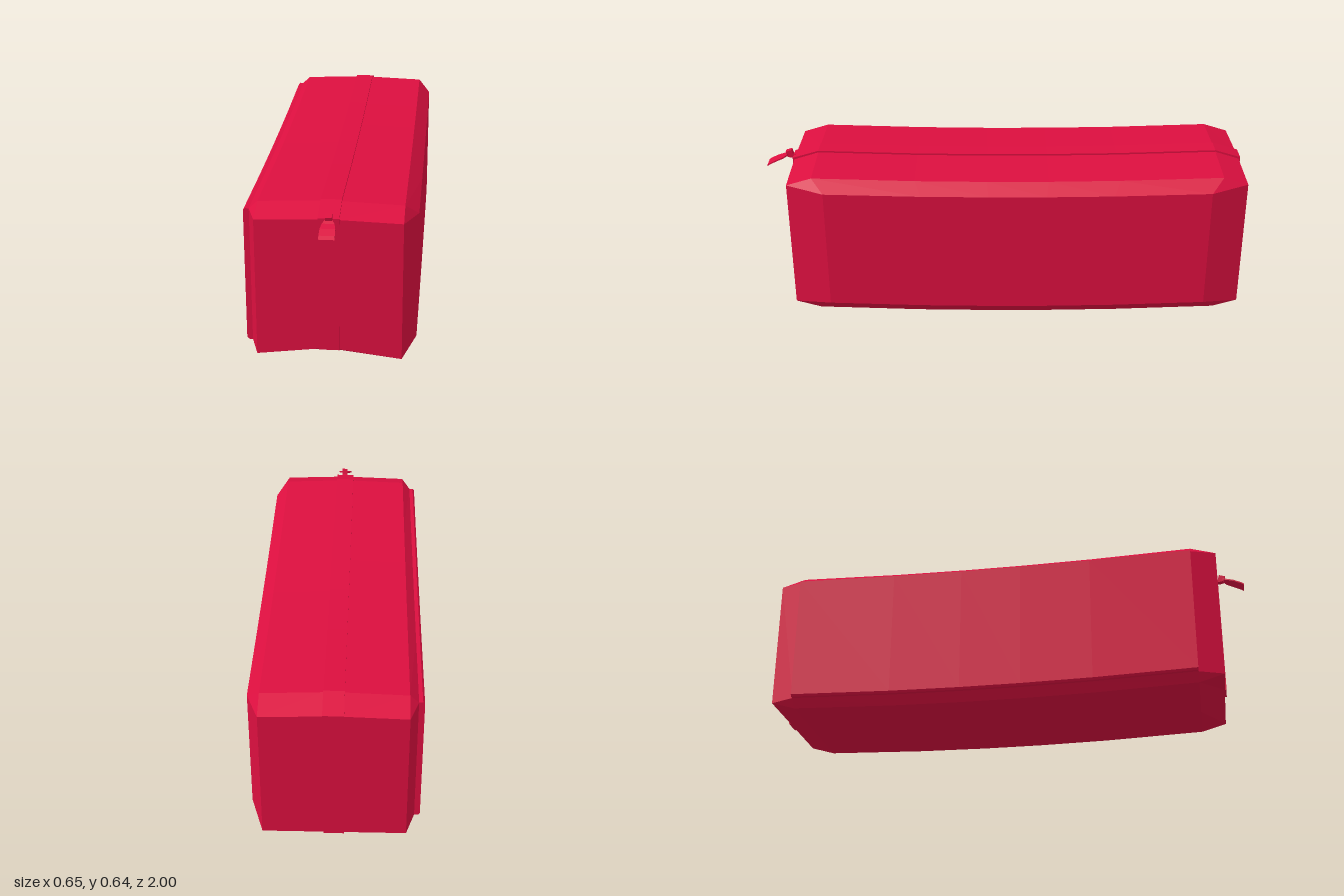
import * as THREE from 'three';

const red = new THREE.MeshStandardMaterial({ color: 0xdc0f3f });
red.name = 'crimson fabric';

// Closed solid through rings of [x, y, z], front to back, each clockwise seen from the front
function loft(name, rings) {
  const pos = [];
  const n = rings[0].length;
  const v = (p) => new THREE.Vector3(...p);
  const tri = (a, b, c) => {
    const area = v(b).sub(v(a)).cross(v(c).sub(v(a))).length();
    if (area > 1e-9) pos.push(...a, ...b, ...c);
  };
  const quad = (a, b, c, d) => { tri(a, b, c); tri(a, c, d); };
  for (let r = 0; r < rings.length - 1; r++) {
    const a = rings[r], b = rings[r + 1];
    for (let i = 0; i < n; i++) {
      const k = (i + 1) % n;
      quad(a[i], a[k], b[k], b[i]);
    }
  }
  // End caps: join each upper point to the one below it
  const f = rings[0], e = rings[rings.length - 1];
  for (let i = 0; i < n / 2 - 1; i++) {
    const j = n - 1 - i;
    quad(f[i], f[j], f[j - 1], f[i + 1]);
    quad(e[i], e[i + 1], e[j - 1], e[j]);
  }
  const geo = new THREE.BufferGeometry();
  geo.setAttribute('position', new THREE.Float32BufferAttribute(pos, 3));
  geo.computeVertexNormals();
  const mesh = new THREE.Mesh(geo, red);
  mesh.name = name;
  return mesh;
}

const MID = -0.055;                       // centre of the case along z
const STEPS = [1, 0.5, 0.15, -0.15, -0.5, -1];
const sag = (u) => 1 - u * u;             // the soft case dips in the middle
const X0 = -0.035, X1 = 0.043;            // zip strip edges

// Section of the case between its shoulders
function bodyRing(u) {
  const s = sag(u);
  const zTop = MID + u * 0.835, zSide = MID + u * 0.785;
  const t = 0.628 - 0.017 * s, tc = t + 0.009, b = 0.02 * (1 - s);
  const hi = 0.58 - 0.014 * s, lo = 0.07 - 0.018 * s;
  return [
    [-0.303, 0.597 - 0.014 * s, zTop], [-0.27, t, zTop], [X0, tc, zTop], [X1, tc, zTop],
    [0.275, t, zTop], [0.325, hi, zSide], [0.325, lo, zSide], [0.275, b, zTop],
    [X1, b, zTop], [X0, b, zTop], [-0.27, b, zTop], [-0.303, 0.053 - 0.018 * s, zTop],
  ];
}

// Flat end of the case, narrowed to the end panel
function endRing(z, bottomMid) {
  const L = -0.27, R = 0.275, t = 0.597, b = 0.05;
  return [
    [L, t, z], [L, t, z], [X0, 0.605, z], [X1, 0.605, z], [R, t, z], [R, t, z],
    [R, b, z], [R, b, z], [X1, bottomMid, z], [X0, bottomMid, z], [L, b, z], [L, b, z],
  ];
}

// Section of the raised side panel
function panelRing(u) {
  const s = sag(u), z = MID + u * 0.835;
  const hi = 0.597 - 0.014 * s, lo = 0.053 - 0.018 * s;
  return [
    [-0.325, hi - 0.007, z], [-0.318, hi, z], [-0.295, hi, z],
    [-0.295, lo, z], [-0.318, lo, z], [-0.325, lo + 0.008, z],
  ];
}

// Raised zip strip running up the front, over the top and down the back
function zipStrip() {
  const path = (d) => [
    [0.883 + d, 0.08], [0.883 + d, 0.605 + d],
    ...STEPS.map((u) => [MID + u * 0.835, 0.637 - 0.017 * sag(u) + d]),
    [-0.99 - d, 0.605 + d], [-0.99 - d, 0.05],
  ];
  const outline = [...path(0.007), ...path(-0.008).reverse()];
  const shape = new THREE.Shape(outline.map(([z, y]) => new THREE.Vector2(z, y)));
  const geo = new THREE.ExtrudeGeometry(shape, { depth: X1 - X0, bevelEnabled: false });
  geo.rotateY(-Math.PI / 2).translate(X1, 0, 0);
  const mesh = new THREE.Mesh(geo, red);
  mesh.name = 'zipStrip';
  return mesh;
}

// Slider block with a thin bent tab
function zipPull() {
  const group = new THREE.Group();
  group.name = 'zipPull';
  const slider = new THREE.Mesh(new THREE.BoxGeometry(0.024, 0.026, 0.026), red);
  slider.name = 'slider';
  slider.position.set(0.007, 0.62, 0.906);
  slider.rotation.x = 0.3;
  const base = new THREE.Mesh(new THREE.BoxGeometry(0.024, 0.012, 0.04), red);
  base.name = 'sliderBase';
  base.position.set(0.007, 0.609, 0.888);
  // Tab stations: z, y, half width
  const tab = [
    [1, 0.574, 0.029], [0.985, 0.583, 0.029], [0.955, 0.597, 0.028],
    [0.93, 0.606, 0.023], [0.912, 0.616, 0.012],
  ].map(([z, y, w]) => [
    [0.007 - w, y + 0.003, z], [0.007 + w, y + 0.003, z],
    [0.007 + w, y - 0.003, z], [0.007 - w, y - 0.003, z],
  ]);
  group.add(slider, base, loft('pullTab', tab));
  return group;
}

export function createModel() {
  const model = new THREE.Group();
  model.name = 'pencilCase';
  model.add(
    loft('caseBody', [endRing(0.883, 0.08), ...STEPS.map(bodyRing), endRing(-0.99, 0.05)]),
    loft('sidePanel', STEPS.map(panelRing)),
    zipStrip(),
    zipPull(),
  );
  return model;
}
